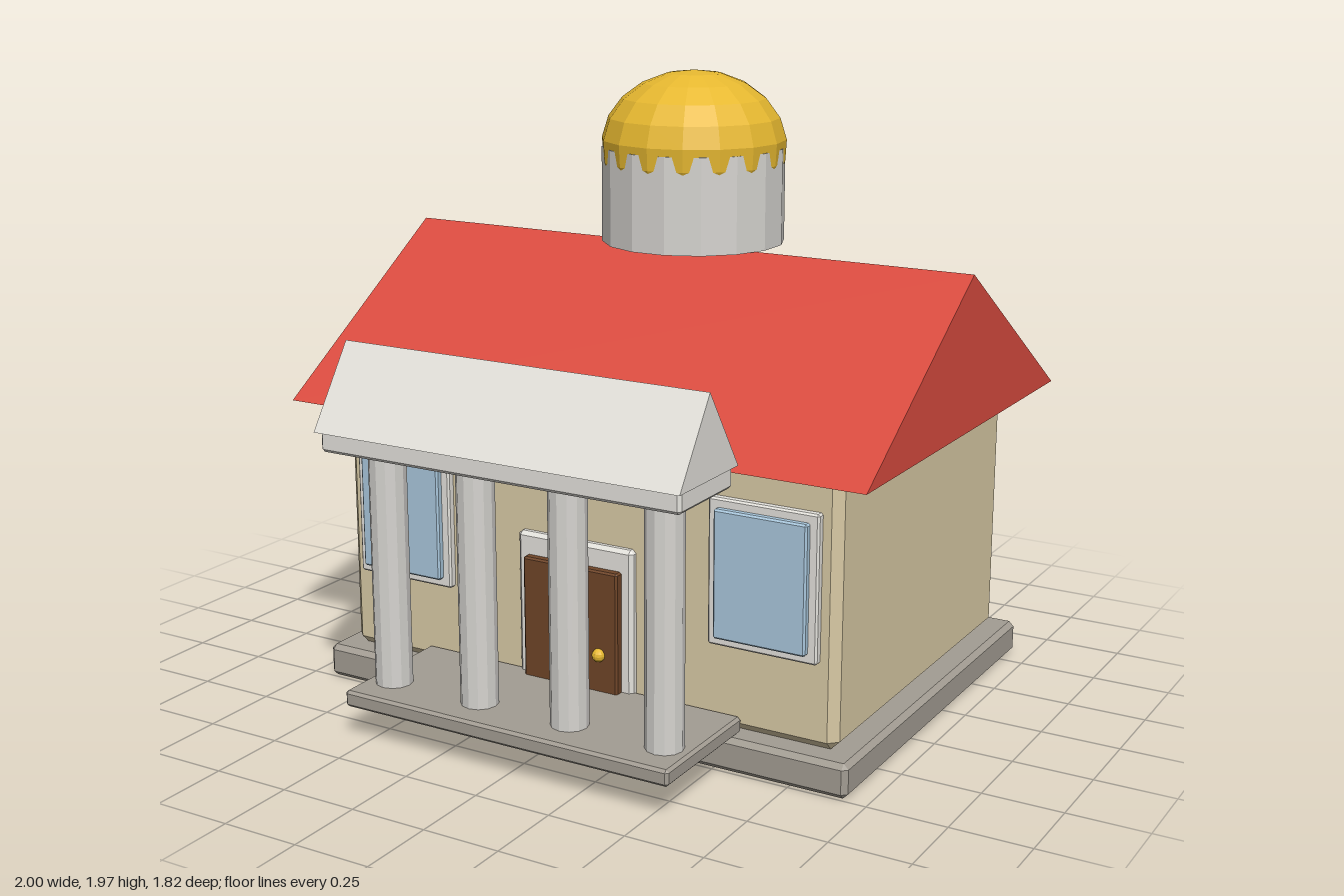
import * as THREE from 'three';
import { ConvexGeometry } from 'three/addons/geometries/ConvexGeometry.js';

const paint = (color) => new THREE.MeshStandardMaterial({ color, flatShading: true });
const WALL = paint(0xd9caa5), ROOF = paint(0xd94b3f), STONE = paint(0xa39d93);
const TRIM = paint(0xe4e2dc), PILLAR = paint(0xd6d4d0), WOOD = paint(0x6f4528);
const GLASS = paint(0xa9c7dc), GOLD = paint(0xe6b830);

export function createModel() {
  const house = new THREE.Group();
  house.name = 'house';

  const add = (name, geometry, material, x = 0, y = 0, z = 0) => {
    const mesh = new THREE.Mesh(geometry, material);
    mesh.name = name;
    mesh.position.set(x, y, z);
    house.add(mesh);
    return mesh;
  };

  // Box with chamfered edges, given by its lower and upper corners
  const block = (name, material, lo, hi, bevel) => {
    const half = lo.map((v, i) => (hi[i] - v) / 2);
    const points = [];
    for (const sx of [-1, 1]) for (const sy of [-1, 1]) for (const sz of [-1, 1]) {
      for (let face = 0; face < 3; face++) {
        const c = [sx, sy, sz].map((s, i) => s * (half[i] - (i === face ? 0 : bevel)));
        points.push(new THREE.Vector3(...c));
      }
    }
    return add(name, new ConvexGeometry(points), material, ...lo.map((v, i) => v + half[i]));
  };

  // Triangular prism with its ridge along x
  const gable = (name, material, width, depth, height, y, z) => {
    const shape = new THREE.Shape();
    shape.moveTo(-depth / 2, 0);
    shape.lineTo(depth / 2, 0);
    shape.lineTo(0, height);
    shape.closePath();
    const geometry = new THREE.ExtrudeGeometry(shape, { depth: width, bevelEnabled: false });
    geometry.translate(0, 0, -width / 2).rotateY(Math.PI / 2);
    return add(name, geometry, material, 0, y, z);
  };

  // Main building
  block('foundation', STONE, [-0.936, 0, -0.85], [0.936, 0.108, 0.5], 0.016);
  block('walls', WALL, [-0.873, 0.108, -0.79], [0.873, 0.943, 0.44], 0.028);
  gable('roof', ROOF, 2, 1.465, 0.482, 0.943, -0.177);

  // Round tower: the drum is turned half a facet against the dome
  const towerZ = -0.267;
  add('towerDrum', new THREE.CylinderGeometry(0.294, 0.294, 0.305, 16), PILLAR, 0, 1.5775, towerZ)
    .rotation.y = Math.PI / 16;
  const dome = new THREE.SphereGeometry(0.298, 16, 8, 0, Math.PI * 2, 0, Math.PI * 0.75);
  dome.scale(1, 0.24 / 0.298, 1);
  add('dome', dome, GOLD, 0, 1.73, towerZ);

  // Portico
  const porticoZ = 0.745;
  block('porchFloor', STONE, [-0.567, 0.108, 0.44], [0.567, 0.16, 0.88], 0.009);
  for (const x of [-0.48, -0.16, 0.16, 0.48]) {
    add('column', new THREE.CylinderGeometry(0.058, 0.058, 0.76, 12), PILLAR, x, 0.54, porticoZ);
  }
  block('lintel', TRIM, [-0.612, 0.912, 0.597], [0.612, 0.98, 0.893], 0.01);
  gable('pediment', TRIM, 1.24, 0.33, 0.247, 0.975, porticoZ);

  // Door
  block('doorFrame', TRIM, [-0.205, 0.06, 0.41], [0.205, 0.615, 0.465], 0.012);
  block('door', WOOD, [-0.168, 0.01, 0.42], [0.168, 0.545, 0.493], 0.006);
  add('doorKnob', new THREE.SphereGeometry(0.021, 12, 8), GOLD, 0.105, 0.278, 0.496);

  // Windows on both sides of the door
  for (const side of [-1, 1]) {
    const x = side * 0.64;
    block('windowFrame', TRIM, [x - 0.178, 0.377, 0.41], [x + 0.178, 0.83, 0.465], 0.006);
    block('windowPane', GLASS, [x - 0.15, 0.405, 0.43], [x + 0.15, 0.802, 0.487], 0.006);
  }
  return house;
}
